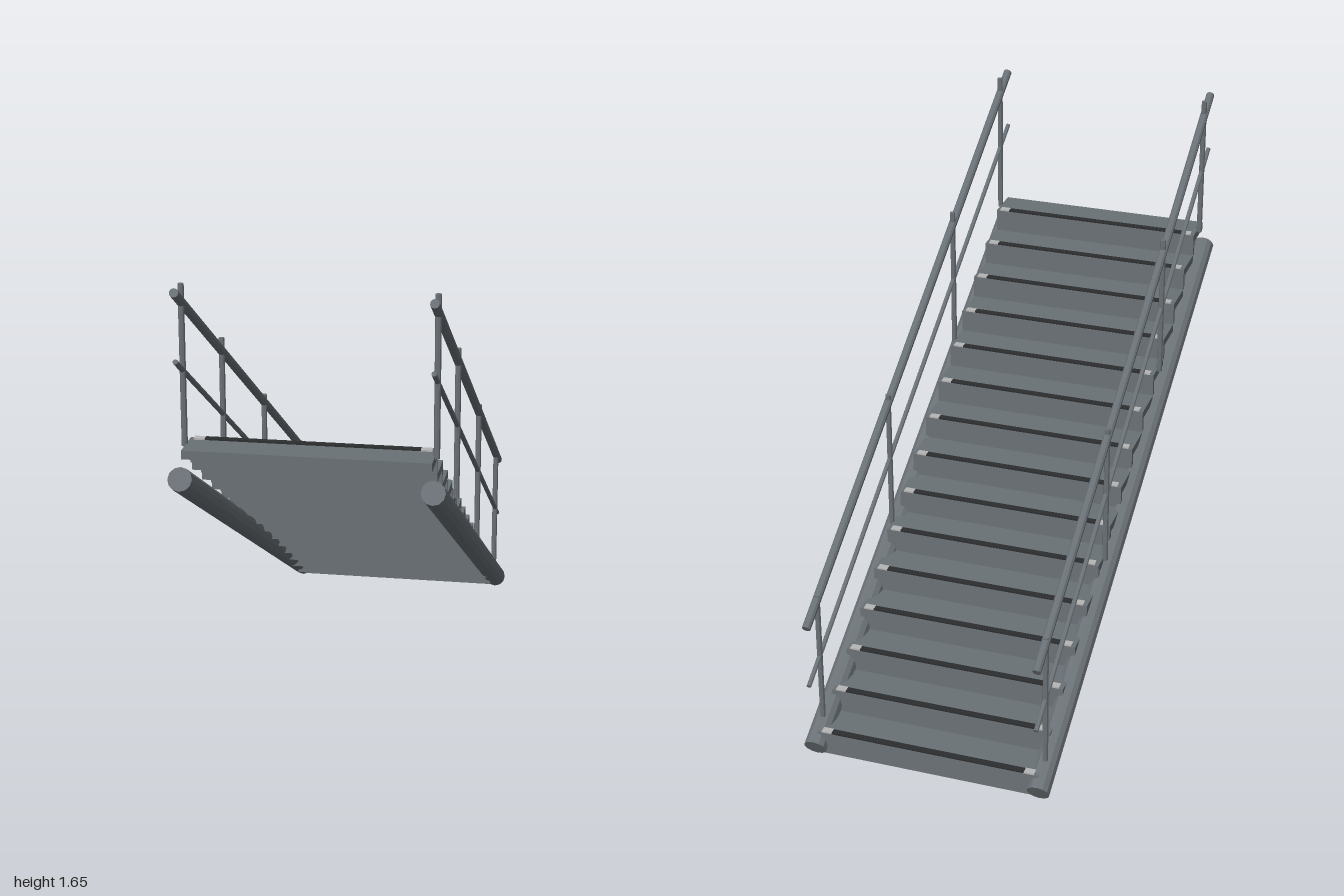
import * as THREE from 'three';

export function createModel() {
  const group = new THREE.Group();
  group.name = 'staircase';
  const material = (name, color) => {
    const m = new THREE.MeshStandardMaterial({ color, flatShading: true });
    m.name = name;
    return m;
  };
  const steel = material('grey steel', 0x6a7176);
  const grip = material('dark grip', 0x2c2d2f);
  const pale = material('pale grey', 0xb4b5b4);

  const add = (name, geometry, mat, x, y, z) => {
    const mesh = new THREE.Mesh(geometry, mat);
    mesh.name = name;
    mesh.position.set(x, y, z);
    group.add(mesh);
    return mesh;
  };

  // Round bar between two points [y, z] in a side plane
  const bar = (name, x, [y0, z0], [y1, z1], radius, sides) => {
    const dir = new THREE.Vector3(0, y1 - y0, z1 - z0);
    const geometry = new THREE.CylinderGeometry(radius, radius, dir.length(), sides);
    const mesh = add(name, geometry, steel, x, (y0 + y1) / 2, (z0 + z1) / 2);
    mesh.quaternion.setFromUnitVectors(new THREE.Vector3(0, 1, 0), dir.normalize());
  };

  // Steps, climbing towards the front
  const steps = 15, run = 0.129, rise = 0.0766, width = 0.74;
  const treadGeo = new THREE.BoxGeometry(width, 0.027, run);
  const riserGeo = new THREE.BoxGeometry(width, rise, 0.014);
  const gripGeo = new THREE.BoxGeometry(0.646, 0.006, 0.022);
  const endGeo = new THREE.BoxGeometry(0.034, 0.006, 0.024);
  for (let i = 0; i < steps; i++) {
    const z = -0.959 + i * run;
    const top = 0.09 + i * rise;
    add('tread', treadGeo, steel, 0, top - 0.0135, z + run / 2);
    add('riser', riserGeo, steel, 0, top - rise / 2, z + 0.007);
    // Grip strip on the nosing with a pale plate at each end
    add('nosingGrip', gripGeo, grip, 0, top + 0.002, z + 0.012);
    for (const s of [-1, 1]) add('nosingEnd', endGeo, pale, s * 0.34, top + 0.002, z + 0.013);
  }

  // Stringers, rails and posts on both sides
  for (const s of [-1, 1]) {
    const x = s * 0.375;
    bar('stringer', x, [0.037, -0.973], [1.075, 0.983], 0.037, 12);
    bar('handrail', x, [0.505, -0.993], [1.642, 0.993], 0.014, 10);
    bar('midRail', x, [0.29, -0.996], [1.438, 0.996], 0.008, 8);
    for (const [z, base, top] of [
      [-0.9, 0.085, 0.572], [-0.255, 0.465, 0.955], [0.39, 0.848, 1.34], [0.907, 1.155, 1.648],
    ]) bar('post', x, [base, z], [top, z], 0.0095, 8);
  }
  return group;
}
